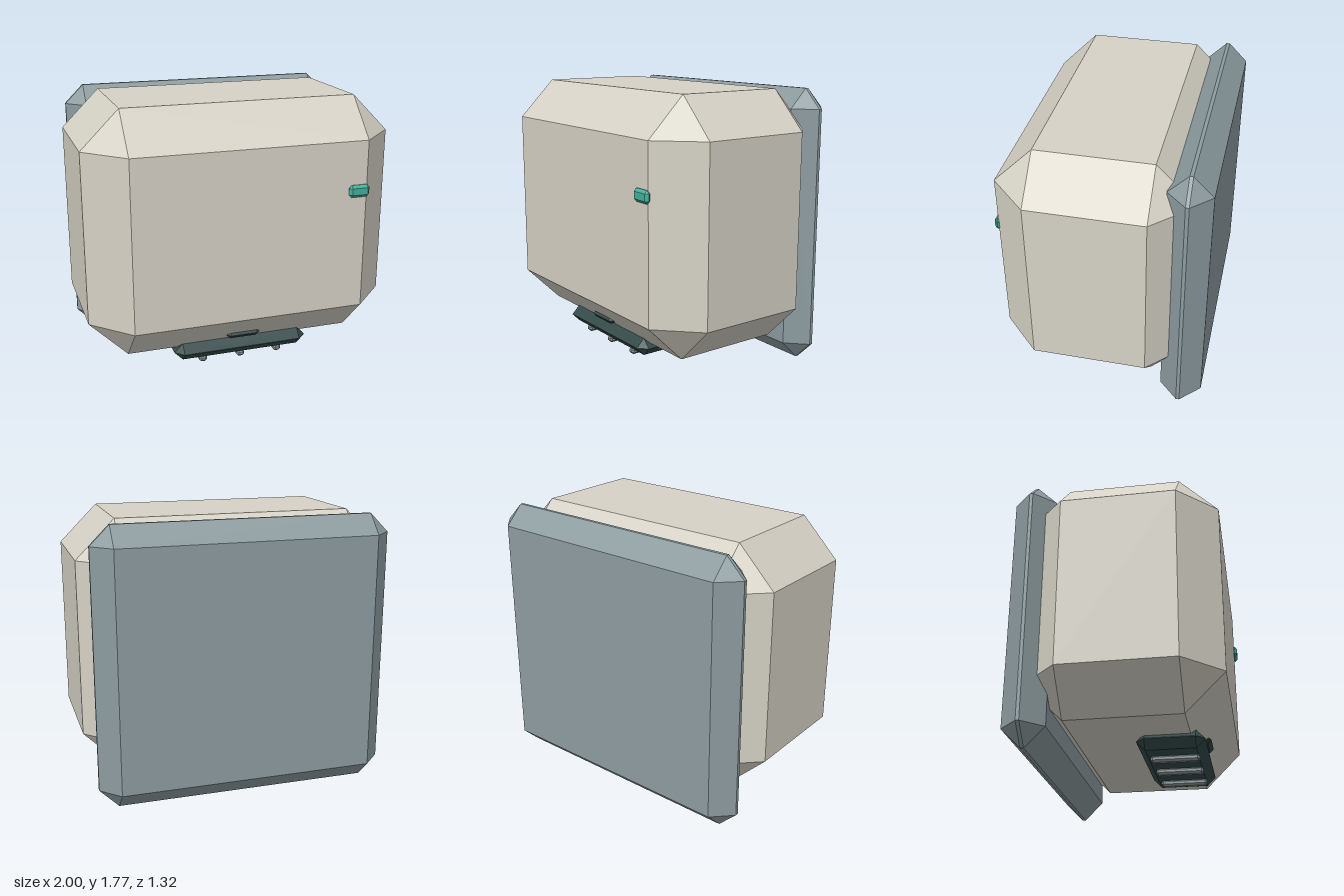
import * as THREE from 'three';
import { ConvexGeometry } from 'three/addons/geometries/ConvexGeometry.js';

const material = (name, color) => {
  const m = new THREE.MeshStandardMaterial({ color });
  m.name = name;
  return m;
};

// Box with every edge cut at 45 degrees by c; min and max are opposite corners
function chamferedBox(min, max, c) {
  const centre = min.map((v, i) => (v + max[i]) / 2);
  const half = min.map((v, i) => (max[i] - v) / 2);
  const points = [];
  for (const sx of [-1, 1]) for (const sy of [-1, 1]) for (const sz of [-1, 1]) {
    const s = [sx, sy, sz];
    // each corner becomes three points, one lying on each adjoining face
    for (let face = 0; face < 3; face++) {
      const p = s.map((sign, i) => centre[i] + sign * (half[i] - (i === face ? 0 : c)));
      points.push(new THREE.Vector3(...p));
    }
  }
  return new ConvexGeometry(points);
}

export function createModel() {
  const group = new THREE.Group();
  const beige = material('warm beige casing', 0xd6d2c6);
  const slate = material('slate blue panel', 0x8d9ca0);
  const dark = material('dark teal plastic', 0x354a4a);
  const metal = material('grey metal', 0x8b9597);
  const teal = material('teal light', 0x44af9c);

  const add = (name, mat, min, max, c) => {
    const mesh = new THREE.Mesh(chamferedBox(min, max, c), mat);
    mesh.name = name;
    group.add(mesh);
  };

  // Main casing and the back panel it hangs on
  add('casing', beige, [-1, 0.178, -0.565], [1, 1.775, 0.635], 0.244);
  add('backPanel', slate, [-0.945, 0, -0.66], [0.945, 1.772, -0.395], 0.122);

  // Outlet under the casing, with three bars below it
  add('outlet', dark, [-0.455, 0.095, 0.055], [0.455, 0.208, 0.475], 0.055);
  for (const x of [-0.26, 0, 0.26]) {
    add('outletBar', metal, [x - 0.026, 0.058, 0.125], [x + 0.026, 0.1, 0.428], 0.013);
  }

  // Small tab on the lower front slope
  add('sensorTab', dark, [-0.112, 0.224, 0.41], [0.112, 0.272, 0.49], 0.022);

  // Indicator light on the front
  add('indicatorLight', teal, [0.633, 1.17, 0.62], [0.772, 1.25, 0.66], 0.018);

  return group;
}
